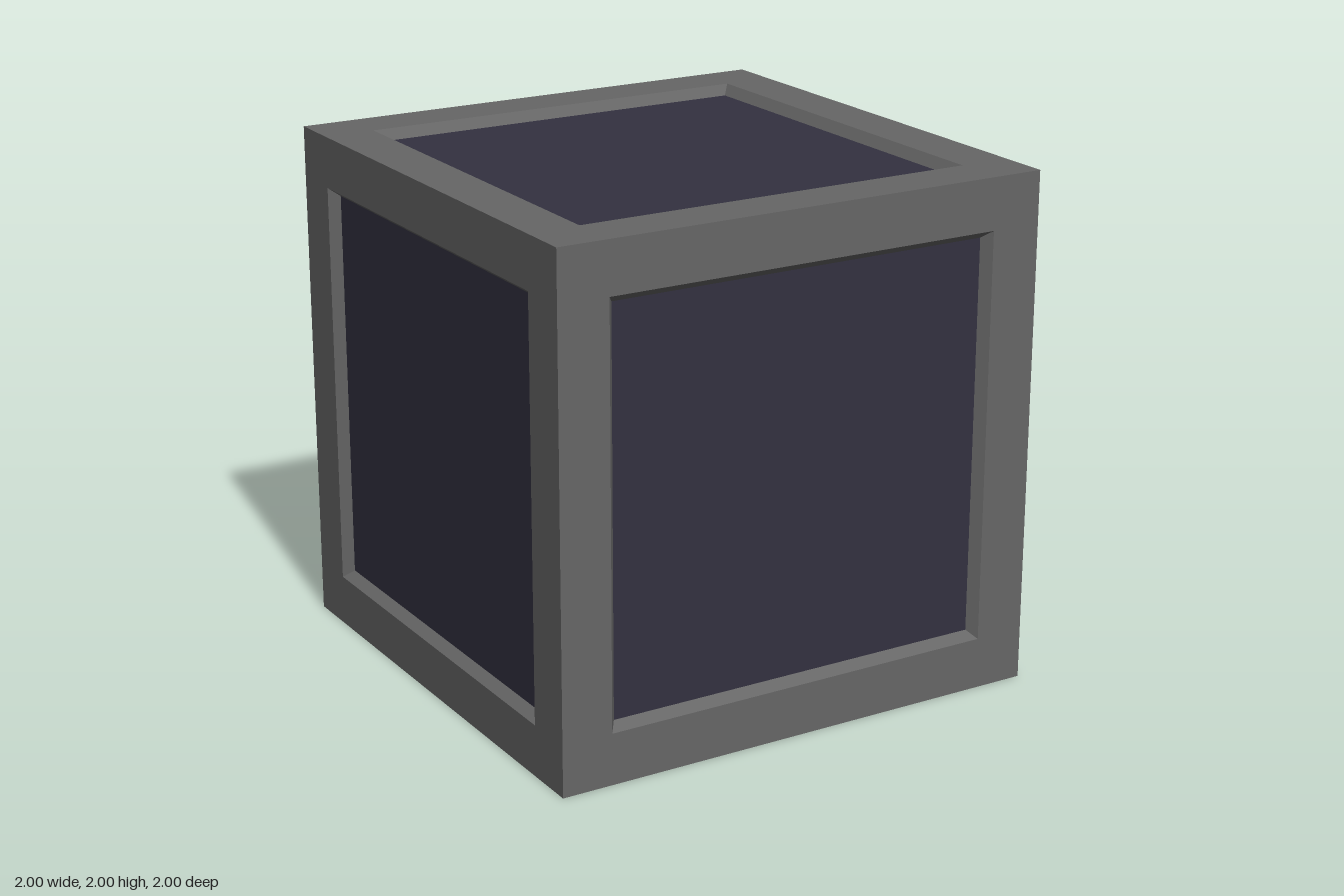
import * as THREE from 'three';

const HALF = 1;        // half the cube's side
const OPENING = 0.8;   // half the frame opening
const PANEL = 0.77;    // half the sunken panel
const DEPTH = 0.04;    // how far the panel is sunk

export function createModel() {
  const frameGrey = new THREE.MeshStandardMaterial({ color: 0x666666 });
  const panelSlate = new THREE.MeshStandardMaterial({ color: 0x333140 });
  frameGrey.name = 'frameGrey';
  panelSlate.name = 'panelSlate';

  // Square frame with a sloped inner lip: a four-sided lathe with flat normals
  const profile = [[HALF, HALF], [OPENING, HALF], [PANEL, HALF - DEPTH]]
    .map(([r, y]) => new THREE.Vector2(r * Math.SQRT2, y));
  const frameGeometry = new THREE.LatheGeometry(profile, 4, Math.PI / 4).toNonIndexed();
  frameGeometry.computeVertexNormals();

  // Sunken panel that closes the frame
  const panelGeometry = new THREE.PlaneGeometry(2 * PANEL, 2 * PANEL)
    .rotateX(-Math.PI / 2)
    .translate(0, HALF - DEPTH, 0);

  // Each side is the top side turned to its own direction
  const q = Math.PI / 2;
  const sides = {
    top: [0, 0, 0],
    bottom: [Math.PI, 0, 0],
    front: [q, 0, 0],
    back: [-q, 0, 0],
    left: [0, 0, -q],
    right: [0, 0, q],
  };

  const model = new THREE.Group();
  model.name = 'panelledCube';
  for (const [name, turn] of Object.entries(sides)) {
    const side = new THREE.Group();
    side.name = name + 'Side';
    const frame = new THREE.Mesh(frameGeometry, frameGrey);
    frame.name = name + 'Frame';
    const panel = new THREE.Mesh(panelGeometry, panelSlate);
    panel.name = name + 'Panel';
    side.add(frame, panel);
    side.rotation.set(...turn);
    side.position.y = HALF;
    model.add(side);
  }
  return model;
}
